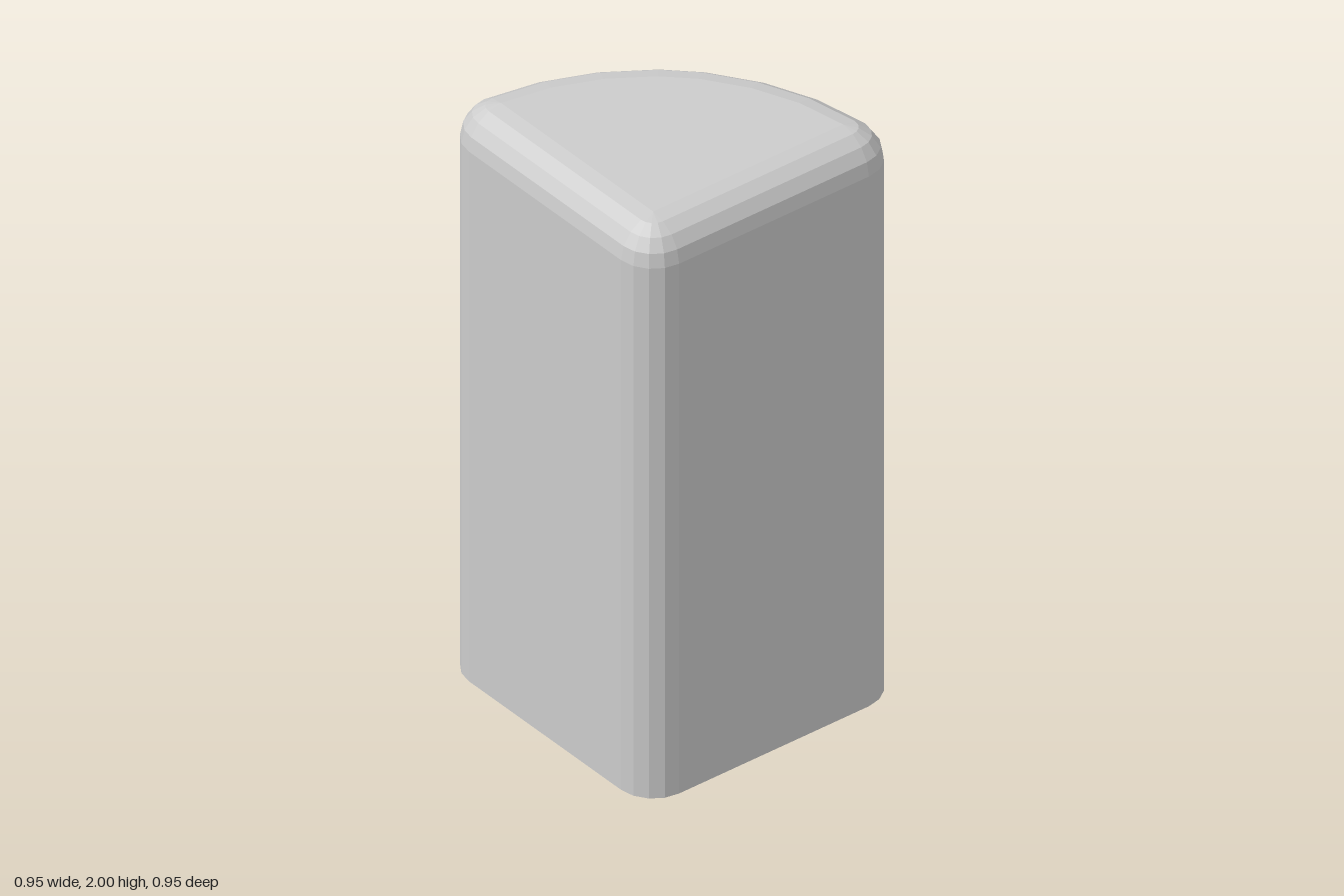
import * as THREE from 'three';

const HEIGHT = 2, BEVEL = 0.12, STEPS = 4, CORE = 0.354;

// Outline: inset core points, each with an outward direction (counterclockwise from above)
function makeOutline() {
  const points = [];
  const add = (x, z, degrees) => {
    const a = THREE.MathUtils.degToRad(degrees);
    points.push({ x, z, dx: Math.cos(a), dz: -Math.sin(a) });
  };
  const corner = (x, z, angles) => angles.forEach((a) => add(x, z, a));

  corner(CORE, CORE, [-90, -67.5, -45, -22.5, 0]);
  corner(CORE, -CORE, [0, 22.5, 45, 67.5, 93]);
  // Curved back, swept about the square corner
  const sweep = [[103.6, 0.697], [116.7, 0.69], [130, 0.688], [140, 0.688], [153.3, 0.69], [166.4, 0.697]];
  for (const [angle, radius] of sweep) {
    const a = THREE.MathUtils.degToRad(angle);
    add(CORE + radius * Math.cos(a), CORE - radius * Math.sin(a), angle);
  }
  corner(-CORE, CORE, [177, 202.5, 225, 247.5, 270]);
  return points;
}

// Stack of outline rings: straight wall, then a quarter-round edge
function makeShell() {
  const outline = makeOutline();
  const n = outline.length;
  const positions = [], index = [];
  const ring = (y, offset) => outline.forEach((p) =>
    positions.push(p.x + p.dx * offset, y, p.z + p.dz * offset));

  ring(0, BEVEL);
  for (let i = 0; i <= STEPS; i++) {
    const t = (i / STEPS) * Math.PI / 2;
    ring(HEIGHT - BEVEL + BEVEL * Math.sin(t), BEVEL * Math.cos(t));
  }

  const last = STEPS + 1;
  for (let r = 0; r < last; r++) {
    for (let i = 0; i < n; i++) {
      const j = (i + 1) % n;
      const a = r * n + i, b = r * n + j, c = b + n, d = a + n;
      index.push(a, b, c);
      // Corner points share one core point on the top ring
      const merged = outline[i].x === outline[j].x && outline[i].z === outline[j].z;
      if (r < last - 1 || !merged) index.push(a, c, d);
    }
  }
  // Flat top, fanned from the square corner; the underside stays open
  for (let i = 5; i < n - 1; i++) index.push(last * n, last * n + i, last * n + i + 1);

  const indexed = new THREE.BufferGeometry();
  indexed.setAttribute('position', new THREE.Float32BufferAttribute(positions, 3));
  indexed.setIndex(index);
  const geometry = indexed.toNonIndexed();
  geometry.computeVertexNormals();
  return geometry;
}

export function createModel() {
  const group = new THREE.Group();
  group.name = 'roundedQuarterColumn';
  const material = new THREE.MeshStandardMaterial({
    color: 0xcccccc, flatShading: true, side: THREE.DoubleSide,
  });
  const shell = new THREE.Mesh(makeShell(), material);
  shell.name = 'columnShell';
  group.add(shell);
  return group;
}
